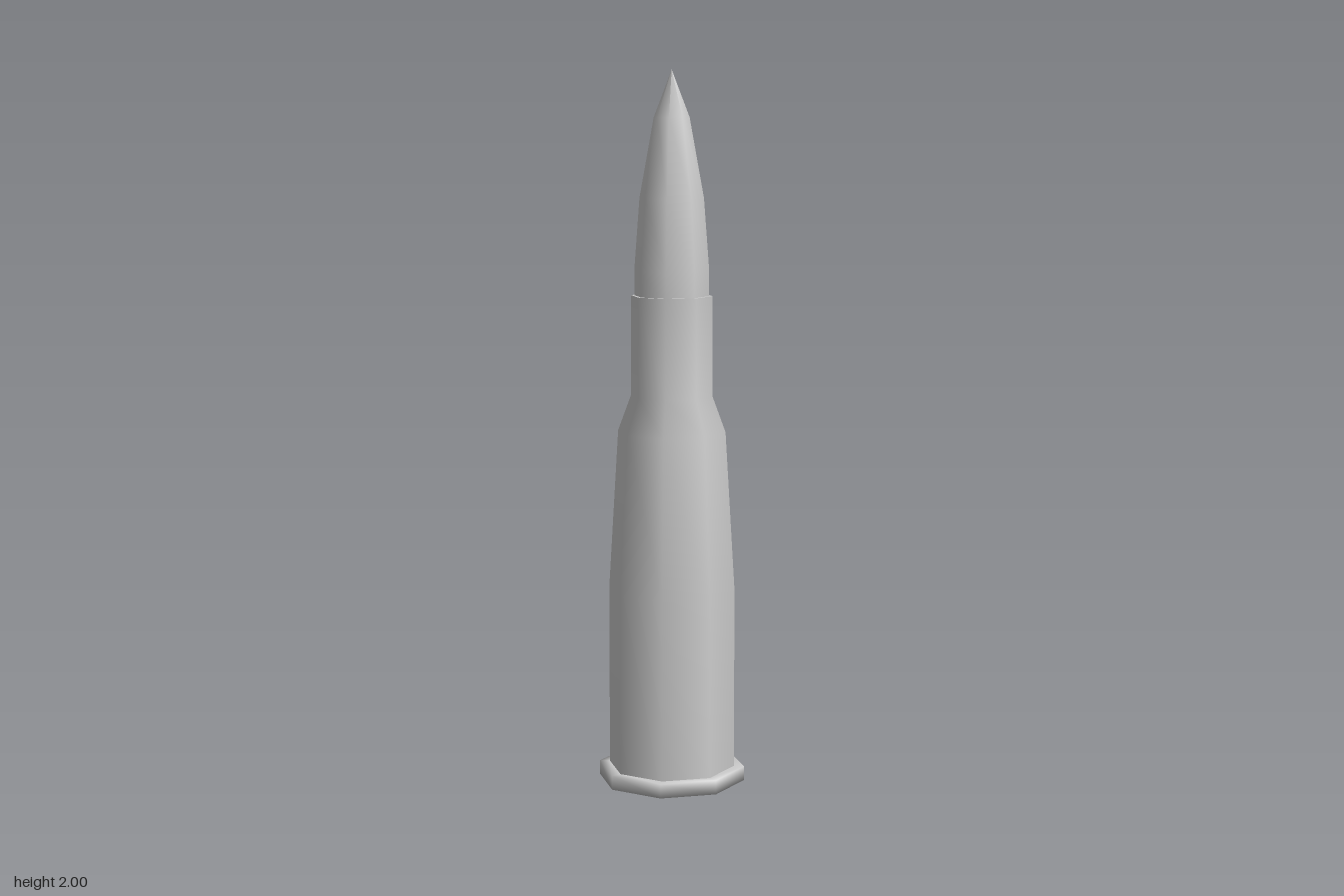
import * as THREE from 'three';

const SIDES = 8;

// Smooth-shaded eight-sided turned part; profile is [radius, height] from bottom to top.
function turned(name, profile, material) {
  const points = profile.map(([r, y]) => new THREE.Vector2(r, y));
  const mesh = new THREE.Mesh(new THREE.LatheGeometry(points, SIDES), material);
  mesh.name = name;
  return mesh;
}

export function createModel() {
  const group = new THREE.Group();
  group.name = 'cartridge';
  const material = new THREE.MeshStandardMaterial({ color: 0xcccccc });

  // Flanged base with its closed underside
  group.add(turned('rim', [[0, 0], [0.208, 0], [0.208, 0.04], [0.179, 0.04]], material));

  // Straight body, gentle taper, shoulder and neck
  group.add(turned('case', [
    [0.179, 0.04], [0.179, 0.55], [0.152, 1.0], [0.115, 1.1], [0.114, 1.38],
  ], material));

  // Flat mouth of the neck, closing onto the bullet
  group.add(turned('neckLip', [[0.114, 1.38], [0.1, 1.38]], material));

  // Pointed bullet seated in the neck
  group.add(turned('bullet', [
    [0.105, 1.36], [0.105, 1.45], [0.09, 1.65], [0.05, 1.87], [0, 2],
  ], material));

  return group;
}
